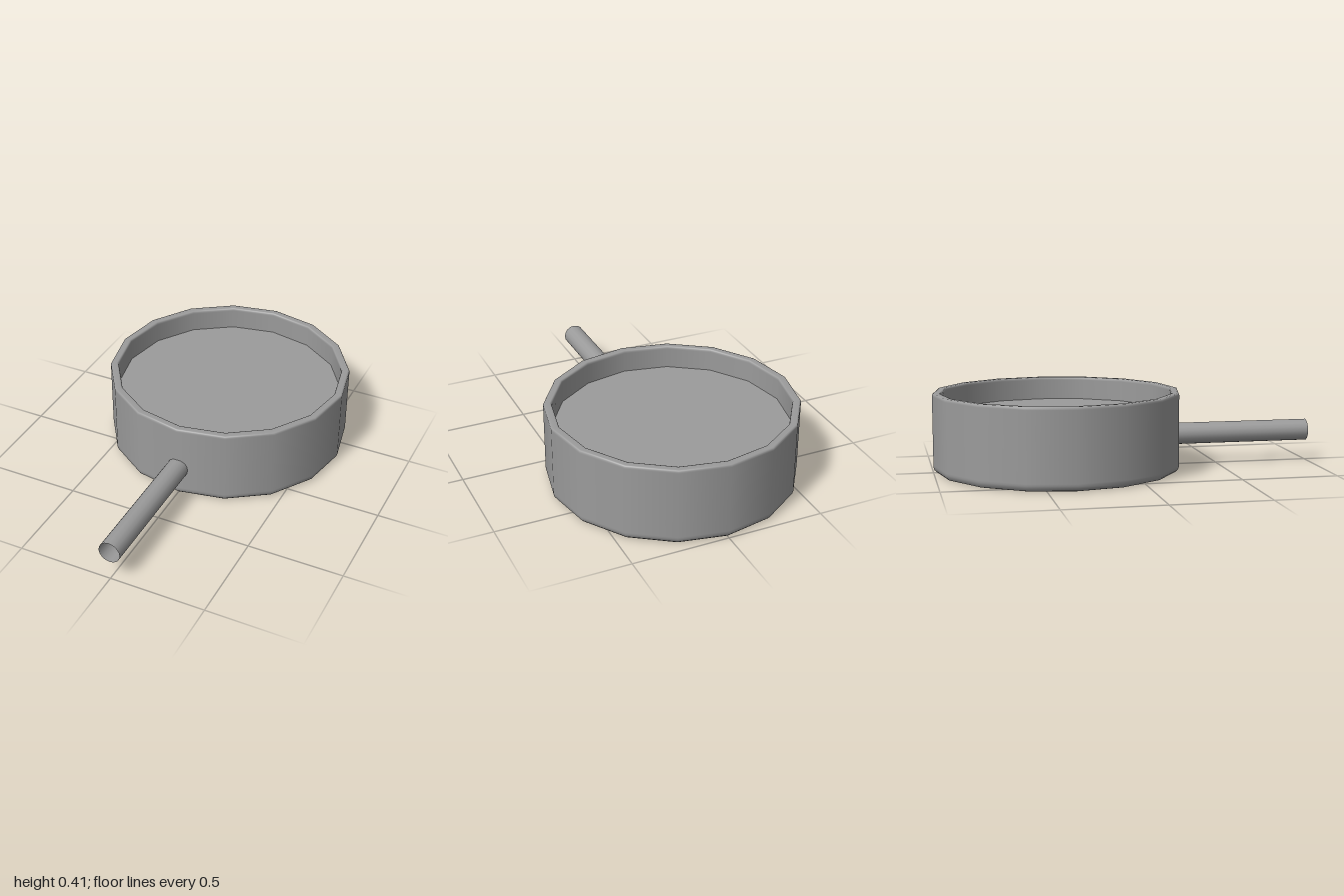
import * as THREE from 'three';

const SIDES = 16;
const CENTRE_Z = -0.358;

export function createModel() {
  const group = new THREE.Group();
  const grey = new THREE.MeshStandardMaterial({ color: 0x9b9b9b, side: THREE.DoubleSide });

  const add = (name, geometry, y, z) => {
    const mesh = new THREE.Mesh(geometry, grey);
    mesh.name = name;
    mesh.position.set(0, y, z);
    group.add(mesh);
  };

  // Pan body: flat base, rounded bottom edge, straight wall, softened rim, inner wall
  const profile = [
    [0, 0], [0.6, 0], [0.612, 0], [0.627, 0.004], [0.638, 0.015], [0.642, 0.03], [0.642, 0.04],
    [0.642, 0.395], [0.642, 0.402], [0.639, 0.408], [0.633, 0.41],
    [0.609, 0.41], [0.603, 0.408], [0.6, 0.402], [0.6, 0.395], [0.6, 0.288],
  ].map(([r, y]) => new THREE.Vector2(r, y));
  add('panBody', new THREE.LatheGeometry(profile, SIDES), 0, CENTRE_Z);

  // Flat floor set below the rim
  add('panFloor', new THREE.CircleGeometry(0.6, SIDES).rotateX(-Math.PI / 2), 0.288, CENTRE_Z);

  // Straight hollow handle, open at the end
  const start = 0.275, end = 1;
  const tube = new THREE.CylinderGeometry(0.057, 0.057, end - start, SIDES, 1, true);
  add('handle', tube.rotateX(Math.PI / 2), 0.163, (start + end) / 2);

  return group;
}
